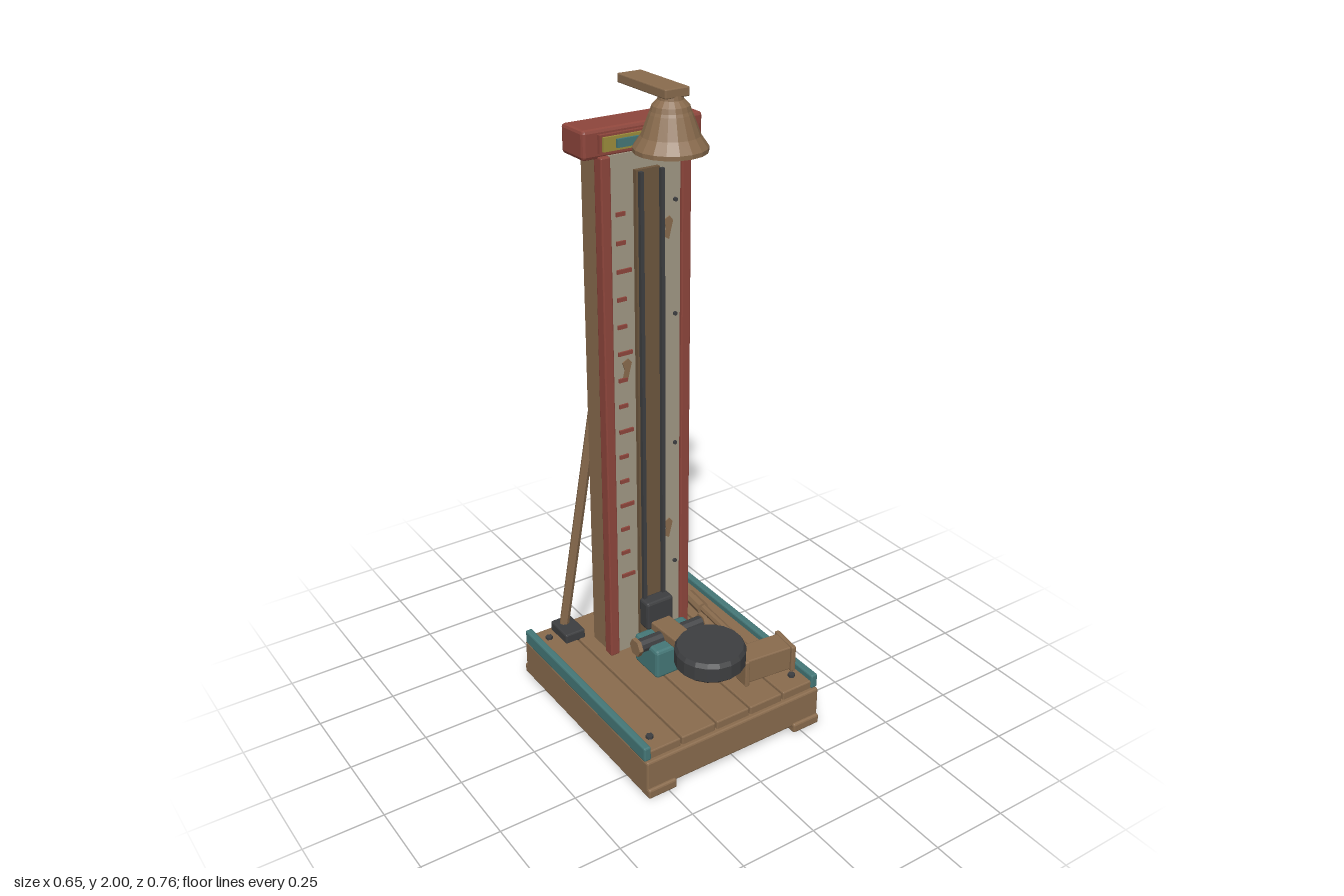
import * as THREE from 'three';
import { RoundedBoxGeometry } from 'three/addons/geometries/RoundedBoxGeometry.js';

const mat = (name, color) => Object.assign(new THREE.MeshStandardMaterial({ color, flatShading: true }), { name });

export function createModel() {
  const wood = mat('wood', 0x8a6c4e), red = mat('red paint', 0x8f463c), teal = mat('teal paint', 0x457878);
  const iron = mat('dark iron', 0x3e3f41), cream = mat('weathered cream', 0xa39a86), yellow = mat('mustard', 0x9d8d3c);
  const slot = mat('dark wood', 0x6f583f);
  const model = new THREE.Group();
  model.name = 'strengthTester';

  const add = (name, geo, m, x = 0, y = 0, z = 0, parent = model) => {
    const mesh = new THREE.Mesh(geo, m);
    mesh.name = name;
    mesh.position.set(x, y, z);
    parent.add(mesh);
    return mesh;
  };
  // Box given by its extents on each axis, with an optional softened edge
  const box = (name, m, [x0, x1], [y0, y1], [z0, z1], bevel = 0, parent = model) => {
    const s = [x1 - x0, y1 - y0, z1 - z0];
    const geo = bevel ? new RoundedBoxGeometry(...s, 1, bevel) : new THREE.BoxGeometry(...s);
    return add(name, geo, m, (x0 + x1) / 2, (y0 + y1) / 2, (z0 + z1) / 2, parent);
  };
  // Round bar between two points
  const rod = (name, m, a, b, r, sides = 8) => {
    const p = new THREE.Vector3(...a), q = new THREE.Vector3(...b), d = q.clone().sub(p);
    const mesh = add(name, new THREE.CylinderGeometry(r, r, d.length(), sides), m);
    mesh.position.copy(p).add(q).multiplyScalar(0.5);
    mesh.quaternion.setFromUnitVectors(new THREE.Vector3(0, 1, 0), d.normalize());
    return mesh;
  };

  // Platform
  box('platform', wood, [-0.322, 0.322], [0.02, 0.128], [-0.37, 0.37], 0.006);
  const seams = [-0.31, -0.19, -0.063, 0.063, 0.19, 0.31];
  for (let i = 0; i < 5; i++)
    box('deckPlank', wood, [seams[i] + 0.003, seams[i + 1] - 0.003], [0.12, 0.155], [-0.355, 0.355], 0.004);
  for (const s of [-1, 1]) {
    box('runner', wood, [s * 0.272 - 0.05, s * 0.272 + 0.05], [0, 0.032], [-0.38, 0.38], 0.006);
    box('sideRail', teal, [s * 0.313 - 0.012, s * 0.313 + 0.012], [0.128, 0.176], [-0.36, 0.36], 0.005);
    for (const z of [-0.303, 0.3])
      add('deckBolt', new THREE.CylinderGeometry(0.012, 0.012, 0.012, 6), iron, s * 0.268, 0.158, z);
  }

  // Tower
  box('towerColumn', wood, [-0.14, 0.14], [0.15, 1.81], [-0.228, -0.122]);
  box('scalePanel', cream, [-0.125, 0.125], [0.155, 1.8], [-0.124, -0.114]);
  box('topCap', red, [-0.197, 0.197], [1.793, 1.877], [-0.235, -0.119], 0.01);
  box('signFrame', red, [-0.15, 0.15], [1.81, 1.862], [-0.122, -0.108]);
  box('signPlate', yellow, [-0.142, 0.142], [1.816, 1.856], [-0.11, -0.1]);
  box('signInset', teal, [-0.103, 0.103], [1.824, 1.848], [-0.101, -0.092]);
  for (const s of [-1, 1]) {
    box('towerTrim', red, [s * 0.134 - 0.016, s * 0.134 + 0.016], [0.155, 1.8], [-0.142, -0.104], 0.004);
    box('guideRail', iron, [s * 0.035 - 0.006, s * 0.035 + 0.006], [0.26, 1.75], [-0.088, -0.076]);
    rod('brace', wood, [s * 0.203, 0.17, -0.318], [s * 0.115, 1.02, -0.228], 0.016);
    box('braceFoot', iron, [s * 0.2 - 0.036, s * 0.2 + 0.036], [0.15, 0.186], [-0.348, -0.245], 0.005);
  }
  box('slideTrack', slot, [-0.04, 0.04], [0.2, 1.75], [-0.115, -0.1]);
  for (let i = 0; i < 15; i++)
    box('scaleMark', red, [-0.1, i % 3 ? -0.07 : -0.052], [0.434 + i * 0.085, 0.446 + i * 0.085], [-0.115, -0.108]);
  for (const y of [0.43, 0.86, 1.29, 1.64])
    add('panelNail', new THREE.CylinderGeometry(0.007, 0.007, 0.008, 6).rotateX(Math.PI / 2), iron, 0.1, y, -0.112);
  // Worn patches of bare wood
  const patch = new THREE.Shape([[-0.012, -0.025], [0.004, -0.035], [0.01, -0.01], [0.018, 0.02], [0.006, 0.035], [-0.014, 0.025], [-0.006, 0]]
    .map(([x, y]) => new THREE.Vector2(x, y)));
  for (const [x, y] of [[0.074, 1.56], [0.074, 0.56], [-0.072, 1.15]])
    add('wornPatch', new THREE.ExtrudeGeometry(patch, { depth: 0.003, bevelEnabled: false }), wood, x, y, -0.114);

  // Bell and its arm
  const bellProfile = [[0, 1.845], [0.092, 1.826], [0.104, 1.826], [0.104, 1.838], [0.082, 1.87], [0.06, 1.928], [0.056, 1.936],
    [0.052, 1.95], [0.036, 1.966], [0.034, 1.978], [0, 1.978]];
  add('bell', new THREE.LatheGeometry(bellProfile.map(p => new THREE.Vector2(...p)), 18), wood, 0, 0, 0.012);
  add('clapper', new THREE.SphereGeometry(0.016, 8, 6), iron, 0, 1.817, 0.012);
  box('bellArm', wood, [-0.039, 0.039], [1.974, 2], [-0.192, 0.045], 0.003);

  // Lever mechanism
  box('pivotBlock', teal, [-0.093, 0.093], [0.15, 0.252], [-0.055, 0.075], 0.01);
  rod('axle', iron, [-0.118, 0.25, 0.01], [0.118, 0.25, 0.01], 0.023, 10);
  for (const s of [-1, 1])
    rod('axleNut', wood, [s * 0.119, 0.25, 0.01], [s * 0.133, 0.25, 0.01], 0.03, 6);
  const lever = box('lever', wood, [-0.035, 0.035], [0.254, 0.286], [-0.105, 0.25], 0.004);
  lever.rotation.x = -0.06;
  box('puck', iron, [-0.05, 0.05], [0.25, 0.35], [-0.092, -0.043], 0.008);
  const padProfile = [[0, 0.275], [0.102, 0.275], [0.111, 0.284], [0.111, 0.33], [0.103, 0.344], [0, 0.344]];
  add('strikePad', new THREE.LatheGeometry(padProfile.map(p => new THREE.Vector2(...p)), 18), iron, 0, 0, 0.23);

  // Mallet resting on the deck
  const head = new THREE.Group();
  head.name = 'malletHead';
  head.position.set(0.192, 0.221, 0.245);
  head.rotation.y = -0.1;
  model.add(head);
  box('malletBlock', wood, [-0.088, 0.088], [-0.042, 0.042], [-0.042, 0.042], 0.004, head);
  for (const s of [-1, 1])
    box('malletBand', wood, [s * 0.084 - 0.008, s * 0.084 + 0.008], [-0.046, 0.046], [-0.052, 0.052], 0.004, head);
  rod('malletHandle', wood, [0.189, 0.208, 0.22], [0.23, 0.19, -0.2], 0.014);
  rod('malletGrip', wood, [0.218, 0.194, -0.115], [0.229, 0.189, -0.215], 0.021);

  return model;
}
